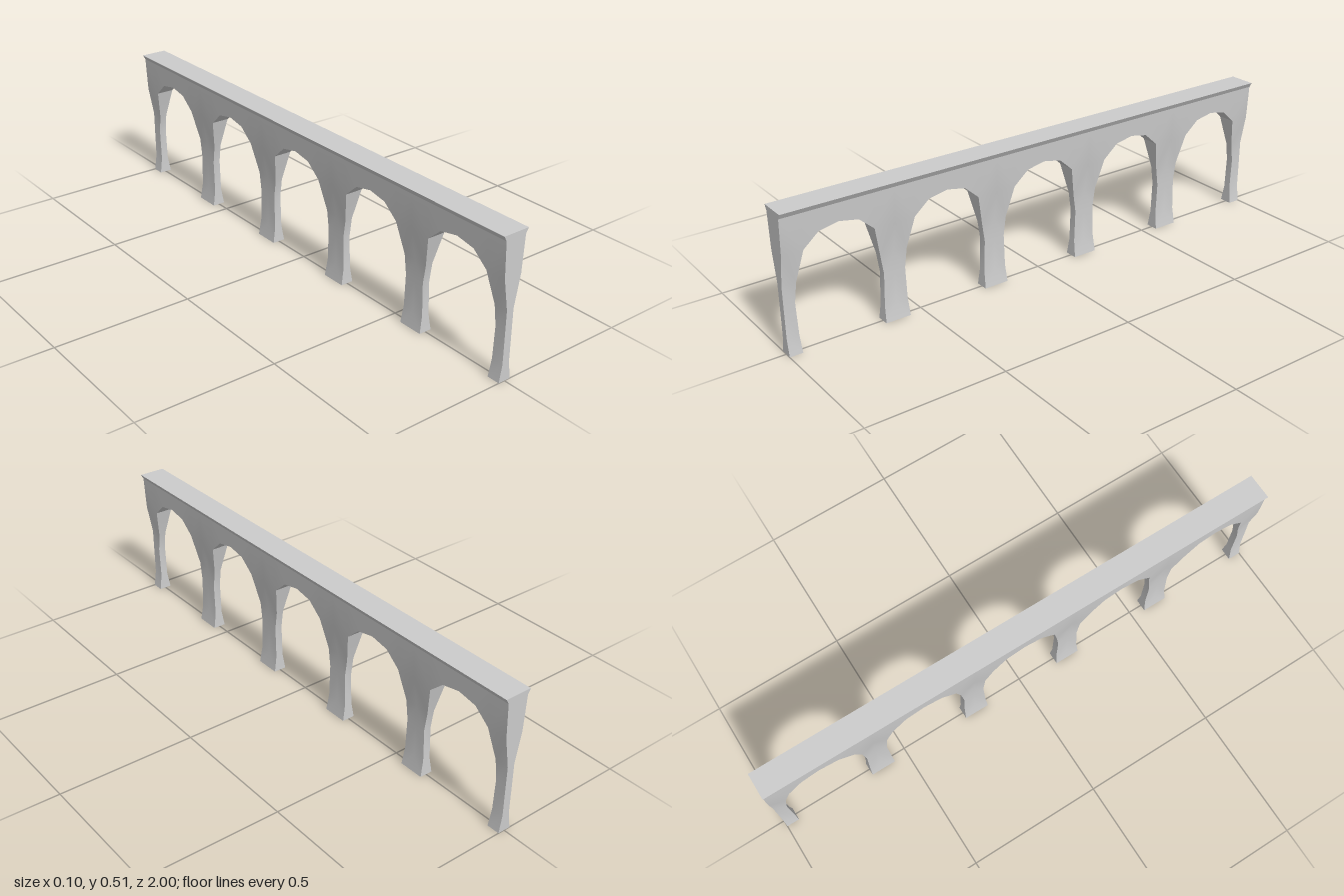
import * as THREE from 'three';
import { toCreasedNormals } from 'three/addons/utils/BufferGeometryUtils.js';

const BAYS = 5, HALF = 0.2, SPRING = 0.363, WALL_TOP = 0.49, TOP = 0.508;

// half thickness of the structure against height: [y, half width]
const PROFILE = [[0, 0.024], [0.062, 0.014], [0.25, 0.014], [0.363, 0.034], [WALL_TOP, 0.04]];
// half of one arch opening, from the foot to the crown: [distance from bay centre, y]
const ARCH = [[0.153, 0], [0.156, 0.062], [0.16, 0.18], [0.15, 0.25], [0.125, SPRING], [0.07, 0.412], [0, 0.426]];

function halfWidth(y) {
  for (let i = 1; i < PROFILE.length; i++) {
    const [y0, w0] = PROFILE[i - 1], [y1, w1] = PROFILE[i];
    if (y <= y1) return w0 + (w1 - w0) * (y - y0) / (y1 - y0);
  }
  return PROFILE[PROFILE.length - 1][1];
}

// one arch with half a pier on each side
function bayGeometry() {
  const pos = [];
  const quad = (a, b, c, d, flip) => {
    const p = flip ? [a, d, c, b] : [a, b, c, d];
    for (const i of [0, 1, 2, 0, 2, 3]) pos.push(...p[i]);
  };
  for (const s of [1, -1]) {
    const at = (side, [d, y]) => [side * halfWidth(y), y, s * d];
    // wall faces: pier strips below the springing, spandrel strips above
    for (const side of [1, -1]) {
      const face = (a, b, c, d) =>
        quad(at(side, a), at(side, b), at(side, c), at(side, d), side * s > 0);
      for (let i = 1; i < ARCH.length; i++) {
        const a = ARCH[i - 1], b = ARCH[i];
        if (b[1] <= SPRING) face(a, [HALF, a[1]], [HALF, b[1]], b);
        else face(b, a, [a[0], WALL_TOP], [b[0], WALL_TOP]);
      }
      const k = ARCH.find(p => p[1] === SPRING);
      face(k, [HALF, SPRING], [HALF, WALL_TOP], [k[0], WALL_TOP]);
    }
    // underside of the arch and inner pier faces
    for (let i = 1; i < ARCH.length; i++) {
      const a = ARCH[i - 1], b = ARCH[i];
      quad(at(-1, a), at(1, a), at(1, b), at(-1, b), s > 0);
    }
    // sole of the pier
    const foot = ARCH[0], outer = [HALF, 0];
    quad(at(-1, foot), at(1, foot), at(1, outer), at(-1, outer), s < 0);
  }
  const g = new THREE.BufferGeometry();
  g.setAttribute('position', new THREE.Float32BufferAttribute(pos, 3));
  return toCreasedNormals(g, 0.5);
}

export function createModel() {
  const group = new THREE.Group();
  const material = new THREE.MeshStandardMaterial({ color: 0xcccccc });
  const add = (name, geometry) => {
    const mesh = new THREE.Mesh(geometry, material);
    mesh.name = name;
    group.add(mesh);
    return mesh;
  };

  // row of arches
  const bay = bayGeometry();
  for (let i = 0; i < BAYS; i++) {
    add('archBay' + (i + 1), bay).position.z = (i - (BAYS - 1) / 2) * 2 * HALF;
  }

  // flat faces closing both ends
  const outline = [
    ...PROFILE.map(([y, w]) => new THREE.Vector2(w, y)),
    ...PROFILE.slice().reverse().map(([y, w]) => new THREE.Vector2(-w, y)),
  ];
  const endGeometry = new THREE.ShapeGeometry(new THREE.Shape(outline));
  add('frontEndFace', endGeometry).position.z = 1;
  const back = add('backEndFace', endGeometry);
  back.position.z = -1;
  back.rotation.y = Math.PI;

  // flared deck along the top
  const deck = new THREE.Shape([
    new THREE.Vector2(-0.04, WALL_TOP), new THREE.Vector2(0.04, WALL_TOP),
    new THREE.Vector2(0.05, TOP), new THREE.Vector2(-0.05, TOP),
  ]);
  add('deck', new THREE.ExtrudeGeometry(deck, { depth: 2, bevelEnabled: false })).position.z = -1;

  return group;
}
